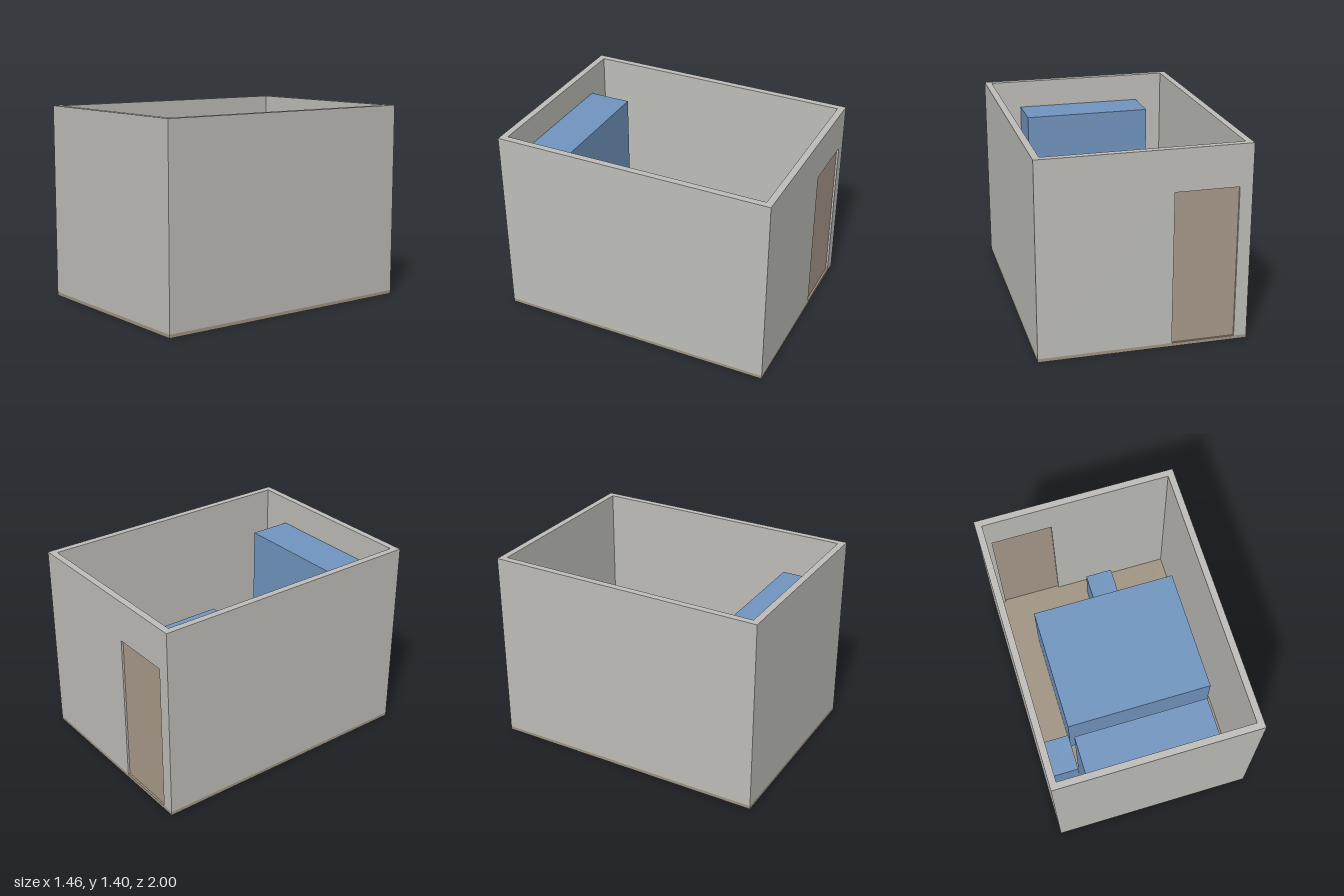
import * as THREE from 'three';

const W = 1.46, D = 2, H = 1.405; // outer room size
const T = 0.048, FLOOR = 0.025;   // wall and floor thickness

const paint = (name, color) => {
  const m = new THREE.MeshStandardMaterial({ color });
  m.name = name;
  return m;
};

export function createModel() {
  const room = new THREE.Group();
  room.name = 'room';
  const wall = paint('wall grey', 0xbdbcb8);
  const wood = paint('floor tan', 0xa09482);
  const doorWood = paint('door brown', 0xa8998a);
  const blue = paint('furniture blue', 0x7094be);

  // Box given by its limits on each axis
  const block = (name, material, [x0, x1], [y0, y1], [z0, z1]) => {
    const mesh = new THREE.Mesh(new THREE.BoxGeometry(x1 - x0, y1 - y0, z1 - z0), material);
    mesh.position.set((x0 + x1) / 2, (y0 + y1) / 2, (z0 + z1) / 2);
    mesh.name = name;
    room.add(mesh);
  };

  const x = W / 2, z = D / 2;
  block('floor', wood, [-x, x], [0, FLOOR], [-z, z]);

  // Solid walls
  block('frontWall', wall, [-x, x], [FLOOR, H], [z - T, z]);
  block('leftWall', wall, [x - T, x], [FLOOR, H], [-z + T, z - T]);
  block('rightWall', wall, [-x, -x + T], [FLOOR, H], [-z + T, z - T]);

  // Back wall, notched for the doorway
  const door = { x0: -0.64, x1: -0.195, top: 1.11 };
  const outline = new THREE.Shape([
    [-x, FLOOR], [door.x0, FLOOR], [door.x0, door.top], [door.x1, door.top],
    [door.x1, FLOOR], [x, FLOOR], [x, H], [-x, H],
  ].map(([px, py]) => new THREE.Vector2(px, py)));
  const backWall = new THREE.Mesh(
    new THREE.ExtrudeGeometry(outline, { depth: T, bevelEnabled: false }), wall);
  backWall.position.z = -z;
  backWall.name = 'backWall';
  room.add(backWall);

  // Door leaf, set back from both wall faces
  block('door', doorWood, [door.x0, door.x1], [FLOOR, door.top], [-z + 0.014, -z + T - 0.014]);

  // Furniture blocks
  block('bed', blue, [-0.472, 0.63], [FLOOR, 0.55], [-0.566, 0.37]);
  block('wardrobe', blue, [-0.478, 0.46], [FLOOR, 1.2], [0.64, z - T]);
  block('backNightstand', blue, [0.02, 0.222], [FLOOR, 0.32], [-0.848, -0.585]);
  block('sideNightstand', blue, [-x + T, -0.478], [FLOOR, 0.32], [0.365, 0.638]);

  return room;
}
